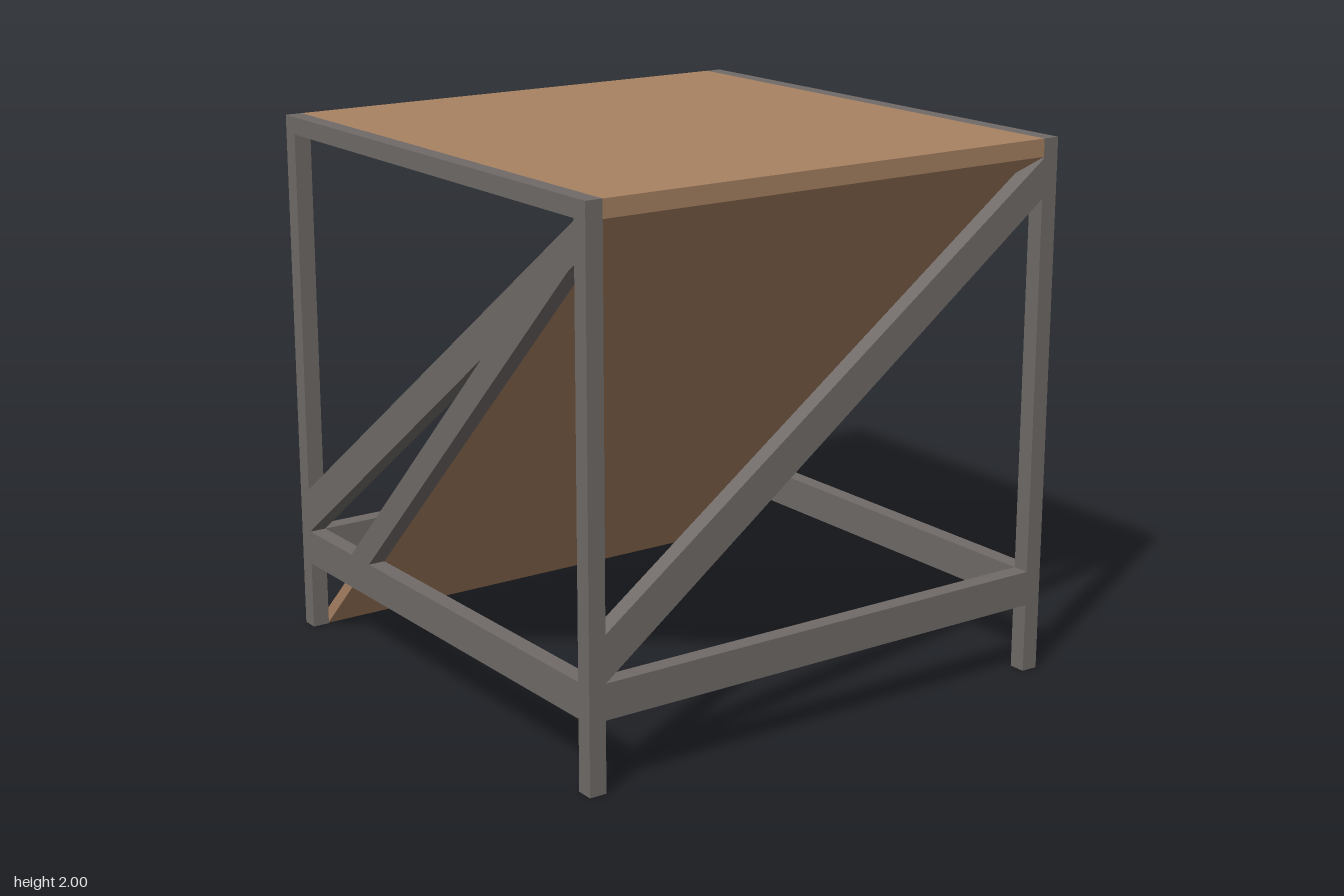
import * as THREE from 'three';

const T = 0.065;        // bar thickness
const I = 1 - T;        // inner face of the frame
const C = 1 - T / 2;    // centre line of the frame bars

export function createModel() {
  const model = new THREE.Group();
  model.name = 'bracedTable';
  const metal = new THREE.MeshStandardMaterial({ color: 0x706b68 });
  metal.name = 'greyMetal';
  const wood = new THREE.MeshStandardMaterial({ color: 0xa88262 });
  wood.name = 'brownWood';

  const add = (name, geometry, material) => {
    const mesh = new THREE.Mesh(geometry, material);
    mesh.name = name;
    model.add(mesh);
    return mesh;
  };
  const box = (name, material, w, h, d, x, y, z) =>
    add(name, new THREE.BoxGeometry(w, h, d), material).position.set(x, y, z);

  // Flat outline extruded to a centred thickness
  const plate = (points, depth) => {
    const shape = new THREE.Shape(points.map(([u, v]) => new THREE.Vector2(u, v)));
    return new THREE.ExtrudeGeometry(shape, { depth, bevelEnabled: false }).translate(0, 0, -depth / 2);
  };
  // Same, with the outline drawn in the z-y plane
  const sidePlate = (points, depth) => plate(points, depth).rotateY(-Math.PI / 2);

  // Diagonal brace, low on the negative side and high on the positive side
  const brace = [[-I, 0.39], [I, 1.785], [I, 1.928], [-I, 0.56]];
  // Steep bar carrying the sloping panel
  const support = [[-0.47, 0.39], [I, 1.795], [I, 1.93], [-0.605, 0.39]];

  for (const s of [-1, 1]) {
    const side = s > 0 ? 'left' : 'right';
    const end = s > 0 ? 'front' : 'back';

    // Posts
    for (const e of [-1, 1]) {
      box(side + (e > 0 ? 'Front' : 'Back') + 'Post', metal, T, 2, T, s * C, 1, e * C);
    }
    // Rails
    box(side + 'TopRail', metal, T, T, 2 * I, s * C, 2 - T / 2, 0);
    box(side + 'LowerRail', metal, T, 0.13, 2 * I, s * C, 0.325, 0);
    box(end + 'LowerRail', metal, 2 * I, 0.13, T, 0, 0.325, s * C);

    // Braces
    add(end + 'Brace', plate(brace, T), metal).position.z = s * C;
    add(side + 'Brace', sidePlate(brace, T), metal).position.x = s * C;
    add(side + 'PanelSupport', sidePlate(support, T), metal).position.x = s * C;
  }

  // Table top and the sloping panel beneath it
  box('tableTop', wood, 2 * I, T, 2, 0, 2 - T / 2, 0);
  add('slopingPanel', sidePlate([[-1, 0], [-0.94, 0], [0.995, I + 1], [I, I + 1]], 2 * I), wood);

  return model;
}
